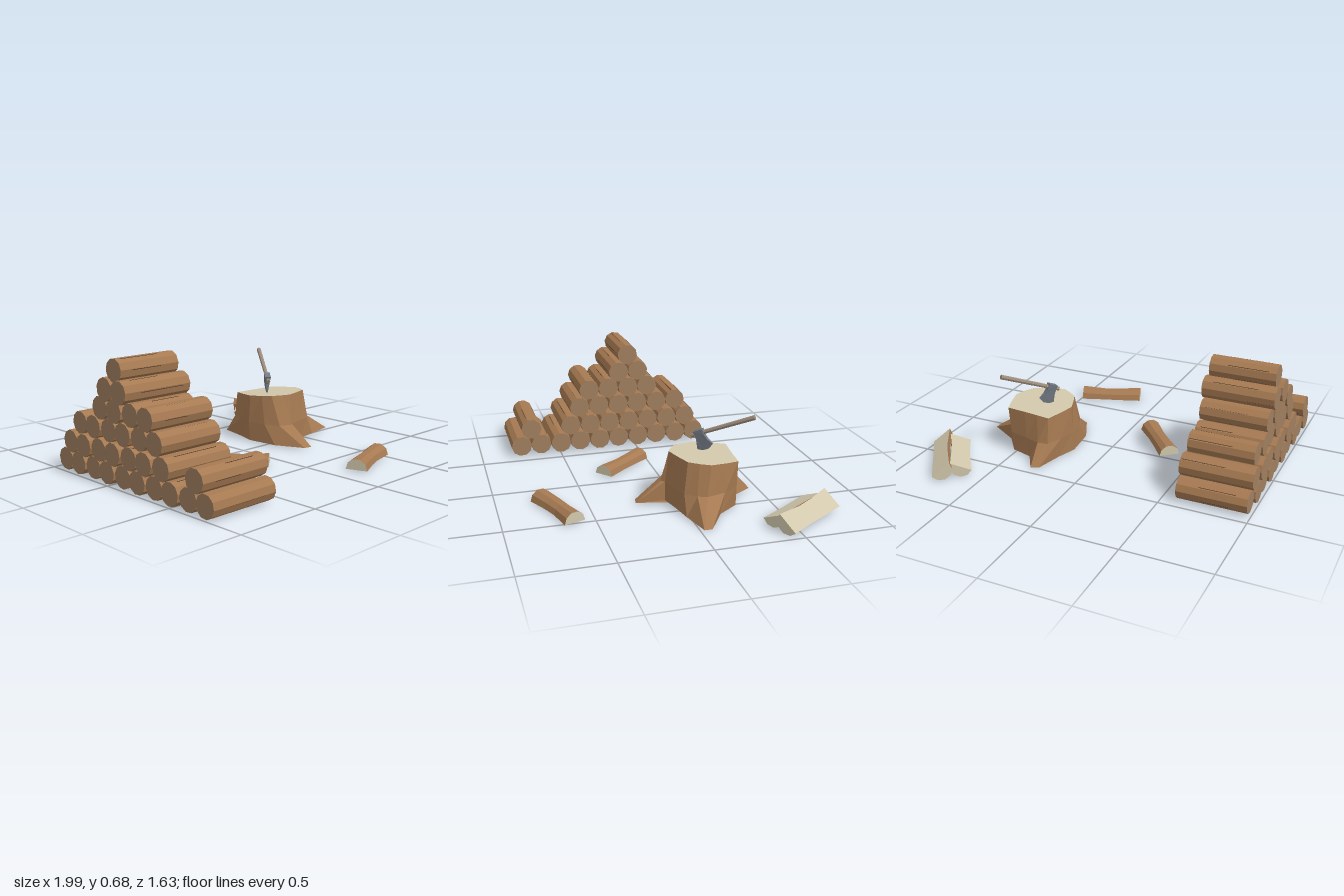
import * as THREE from 'three';

const mat = (color, side = THREE.FrontSide) =>
  new THREE.MeshStandardMaterial({ color, flatShading: true, side });

// Surface between consecutive rings of points
function strip(rings, closed) {
  const out = [];
  for (let i = 0; i < rings.length - 1; i++) {
    const p = rings[i], q = rings[i + 1], n = p.length;
    for (let j = 0; j < (closed ? n : n - 1); j++) {
      const k = (j + 1) % n;
      out.push(...p[j], ...p[k], ...q[k], ...p[j], ...q[k], ...q[j]);
    }
  }
  return out;
}

// Cap of a ring, as a fan around its middle
function cap(ring, flip) {
  const c = [0, 1, 2].map(a => ring.reduce((s, p) => s + p[a], 0) / ring.length);
  const out = [];
  ring.forEach((p, j) => {
    const q = ring[(j + 1) % ring.length];
    out.push(...c, ...(flip ? q : p), ...(flip ? p : q));
  });
  return out;
}

function toMesh(name, positions, material) {
  const g = new THREE.BufferGeometry();
  g.setAttribute('position', new THREE.Float32BufferAttribute(positions, 3));
  g.computeVertexNormals();
  const m = new THREE.Mesh(g, material);
  m.name = name;
  return m;
}

export function createModel() {
  const root = new THREE.Group();
  root.name = 'woodcuttingYard';
  const bark = mat(0xa67a52), logEnd = mat(0xa08060), crack = mat(0x4a3624);
  const cream = mat(0xd2c8ac), metal = mat(0x737a84), handleWood = mat(0x9c8c7a);
  let seed = 7;
  const rnd = () => (seed = (seed * 16807) % 2147483647) / 2147483647;

  // Round log lying along x, with dark cracks in the bark
  const R = 0.064;
  function roundLog(length) {
    const log = new THREE.Group();
    log.name = 'log';
    const g = new THREE.CylinderGeometry(R, R, length, 10);
    g.rotateZ(Math.PI / 2);
    const body = new THREE.Mesh(g, [bark, logEnd, logEnd]);
    body.name = 'logBody';
    log.add(body);
    for (let i = 0; i < 5; i++) {
      const a = (2 * i + 0.5 + rnd() * 0.2) * Math.PI / 5;
      const l = length * (0.3 + 0.4 * rnd());
      const c = new THREE.Mesh(new THREE.BoxGeometry(l, 0.003, 0.003), crack);
      c.name = 'barkCrack';
      const r = R * 0.965;
      c.position.set((rnd() - 0.5) * (length - l), Math.cos(a) * r, Math.sin(a) * r);
      c.rotation.x = a;
      log.add(c);
    }
    return log;
  }

  // Stack of logs: [height, length, z of each log]
  const pitch = 0.1275;
  const run = (from, n) => Array.from({ length: n }, (_, i) => from - i * pitch);
  const rows = [
    [0.069, 0.415, run(0.75, 10)],
    [0.18, 0.43, [0.685, ...run(0.43, 7)]],
    [0.292, 0.39, run(0.367, 6)],
    [0.404, 0.4, run(0.303, 4)],
    [0.513, 0.43, run(0.112, 2)],
    [0.617, 0.38, [0.047]],
  ];
  const stack = new THREE.Group();
  stack.name = 'logStack';
  for (const [y, length, zs] of rows) {
    zs.forEach((z, i) => {
      const log = roundLog(length - (i % 2) * 0.015);
      log.position.set(-0.784, y, z);
      log.rotation.x = (rnd() - 0.5) * 0.5;
      stack.add(log);
    });
  }
  root.add(stack);

  // Split log along z: bark on the round side, cream on the flat side and ends
  function halfLog(length, r, bend) {
    const g = new THREE.Group();
    g.name = 'splitLog';
    const rings = [[-0.5, 1, 0], [-0.15, 0.9, bend], [0.12, 0.86, bend], [0.5, 1, 0]]
      .map(([t, s, dx]) => Array.from({ length: 6 }, (_, j) => {
        const a = j * Math.PI / 5;
        return [Math.cos(a) * r * s + dx, Math.sin(a) * r * s, t * length];
      }));
    g.add(toMesh('splitLogBark', strip(rings), bark));
    g.add(toMesh('splitLogFace', strip(rings.map(p => [p[5], p[0]])), cream));
    g.add(toMesh('splitLogEnds', [...cap(rings[0], true), ...cap(rings[3], false)], cream));
    g.rotation.order = 'YXZ';
    return g;
  }
  function placeHalf(name, x, y, z, yaw, roll, length, r, bend) {
    const h = halfLog(length, r, bend);
    h.name = name;
    h.position.set(x, y, z);
    h.rotation.set(0, yaw, roll);
    root.add(h);
  }
  placeHalf('splitLogNearStack', -0.235, 0.008, 0.178, Math.atan2(0.24, 0.285), 0, 0.375, 0.061, 0);
  placeHalf('splitLogFront', 0.322, 0.008, 0.68, Math.atan2(0.365, -0.13), 0, 0.385, 0.063, 0.008);

  // Opened pair: round sides down, flat faces sloping away from each other
  const yaw = Math.atan2(0.557, 0.83);
  const across = (s, v) => [0.83 * s + 0.557 * v, -0.557 * s + 0.83 * v];
  const [lx, lz] = across(0.907, -0.045), [rx, rz] = across(1.02, -0.042);
  placeHalf('splitPairInner', lx, 0.065, lz, yaw, Math.PI + 0.4, 0.39, 0.064, 0);
  placeHalf('splitPairOuter', rx, 0.068, rz, yaw, Math.PI - 0.68, 0.452, 0.065, -0.006);

  // Chopping stump: each column gives x, z at the top, waist and base
  const columns = [
    [.59, -.12, .62, -.09, .78, -.065], [.565, -.06, .60, -.04, .78, -.02],
    [.53, -.005, .55, .02, .60, .02], [.44, .025, .45, .045, .46, .045],
    [.35, .05, .35, .07, .35, .07], [.31, .03, .33, .09, .34, .24],
    [.25, -.01, .25, .06, .29, .23], [.225, -.07, .21, -.03, .21, .06],
    [.2, -.145, .195, -.15, .19, -.14], [.23, -.24, .22, -.25, .23, -.26],
    [.26, -.32, .26, -.34, .27, -.43], [.34, -.31, .32, -.35, .315, -.45],
    [.43, -.30, .41, -.32, .39, -.33], [.545, -.29, .53, -.29, .52, -.29],
    [.57, -.21, .59, -.2, .61, -.17],
  ];
  const topRing = columns.map(c => [c[0], 0.297 + 0.07 * c[1], c[1]]);
  const waist = columns.map(c => [c[2], 0.12, c[3]]);
  const base = columns.map(c => [c[4], 0.006, c[5]]);
  const stump = new THREE.Group();
  stump.name = 'stump';
  stump.add(toMesh('stumpBark', [...strip([topRing, waist, base], true), ...cap(base, false)], bark));
  stump.add(toMesh('stumpTop', cap(topRing, true), cream));
  root.add(stump);

  // Axe: local x runs up the handle, local -y runs down the blade
  const axe = new THREE.Group();
  axe.name = 'axe';
  const foot = new THREE.Vector3(0.31, 0.366, -0.095);
  const along = new THREE.Vector3(0.522, 0.513, -0.388).sub(foot);
  const len = along.length();
  along.normalize();
  const side = new THREE.Vector3().crossVectors(along, new THREE.Vector3(0, 1, 0)).normalize();
  const up = new THREE.Vector3().crossVectors(side, along);
  axe.quaternion.setFromRotationMatrix(new THREE.Matrix4().makeBasis(along, up, side));
  axe.position.copy(foot);

  const hg = new THREE.CylinderGeometry(0.014, 0.012, len, 8);
  hg.rotateZ(-Math.PI / 2);
  hg.translate(len / 2, 0, 0);
  const handle = new THREE.Mesh(hg, handleWood);
  handle.name = 'axeHandle';
  axe.add(handle);

  const outline = [[.022, .02], [.022, -.03], [.005, -.085], [.03, -.1], [.07, -.1],
    [.105, -.08], [.085, -.045], [.078, -.02], [.078, .02]];
  const shape = new THREE.Shape(outline.map(([x, y]) => new THREE.Vector2(x, y)));
  const bg = new THREE.ExtrudeGeometry(shape, { depth: 0.036, bevelEnabled: false });
  bg.translate(0, 0, -0.018);
  // Thin the head towards its cutting edge
  const p = bg.attributes.position;
  for (let i = 0; i < p.count; i++) {
    const t = THREE.MathUtils.clamp((0.1 + p.getY(i)) / 0.1, 0.06, 1);
    p.setZ(i, p.getZ(i) * t);
  }
  bg.computeVertexNormals();
  const blade = new THREE.Mesh(bg, metal);
  blade.name = 'axeHead';
  axe.add(blade);
  root.add(axe);

  return root;
}
